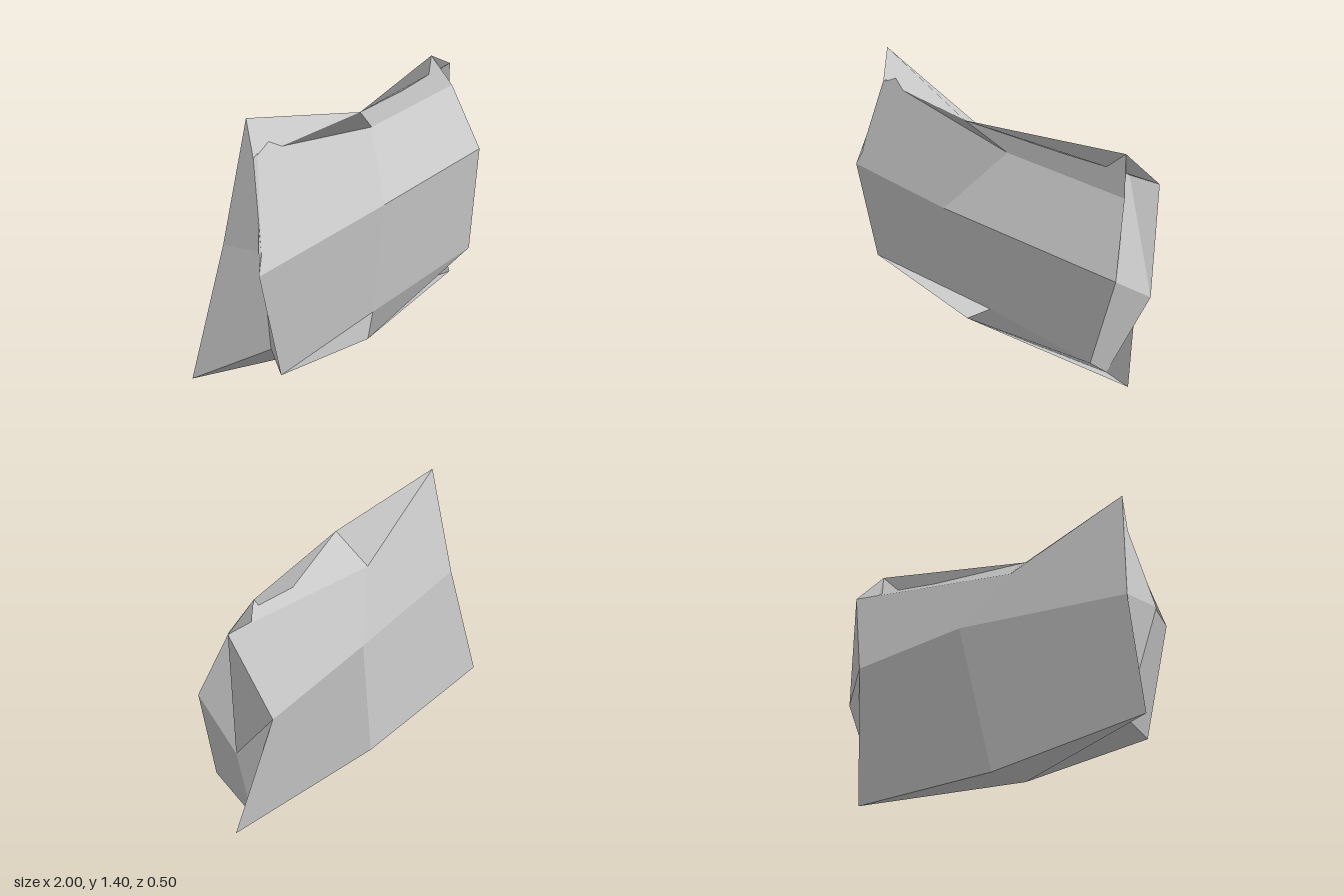
import * as THREE from 'three';

// Displaced 3x3x3 lattice: rows run front to back, each row left to right in x
const bottom = [
  [-0.77, 0.10, 0.14], [0.07, 0.13, 0.06], [0.86, 0.29, 0.15],
  [-0.72, 0.19, 0.03], [-0.05, 0.03, 0.12], [0.82, 0.08, -0.04],
  [-1.00, 0.05, -0.25], [-0.05, 0.00, -0.17], [0.96, 0.06, -0.05],
];
const middle = [
  [-0.91, 0.67, 0.14], [-0.08, 0.83, 0.25], [0.97, 0.86, 0.13],
  [-0.87, 0.78, 0.12], [0, 0.7, 0], [1.00, 0.64, -0.12],
  [-0.86, 0.75, -0.14], [0.12, 0.82, -0.23], [0.84, 0.79, -0.22],
];
const top = [
  [-0.74, 1.30, -0.01], [0.13, 1.15, 0.00], [0.88, 1.23, -0.01],
  [-0.79, 1.20, 0.01], [-0.08, 1.29, 0.09], [0.80, 1.40, -0.10],
  [-0.79, 1.39, -0.03], [-0.11, 1.13, -0.09], [1.00, 1.32, -0.11],
];
const lattice = [...bottom, ...middle, ...top].map((p) => new THREE.Vector3(...p));

// Each side: name, first lattice index, step across, step up, diagonal of its four quads
const sides = [
  ['frontFace', 0, 1, 9, '1110'],
  ['backFace', 8, -1, 9, '0110'],
  ['leftFace', 2, 3, 9, '0000'],
  ['rightFace', 6, -3, 9, '1100'],
  ['topFace', 18, 1, 3, '1010'],
  ['bottomFace', 6, 1, -3, '0110'],
];

// One side of the rock: 2x2 bent quads, each shaded with a single normal
function sideGeometry(origin, u, v, diagonals) {
  const positions = [], normals = [];
  for (let q = 0; q < 4; q++) {
    const start = origin + u * (q % 2) + v * Math.floor(q / 2);
    const [a, b, c, d] = [start, start + u, start + u + v, start + v].map((i) => lattice[i]);
    const normal = c.clone().sub(a).cross(d.clone().sub(b)).normalize();
    const corners = diagonals[q] === '0' ? [a, b, c, a, c, d] : [a, b, d, b, c, d];
    for (const p of corners) {
      positions.push(p.x, p.y, p.z);
      normals.push(normal.x, normal.y, normal.z);
    }
  }
  const geometry = new THREE.BufferGeometry();
  geometry.setAttribute('position', new THREE.Float32BufferAttribute(positions, 3));
  geometry.setAttribute('normal', new THREE.Float32BufferAttribute(normals, 3));
  return geometry;
}

export function createModel() {
  const group = new THREE.Group();
  group.name = 'rockSlab';

  // Folded ridges show both faces
  const stone = new THREE.MeshStandardMaterial({ color: 0xcccccc, side: THREE.DoubleSide });
  stone.name = 'stoneGrey';

  for (const [name, ...layout] of sides) {
    const face = new THREE.Mesh(sideGeometry(...layout), stone);
    face.name = name;
    group.add(face);
  }
  return group;
}
